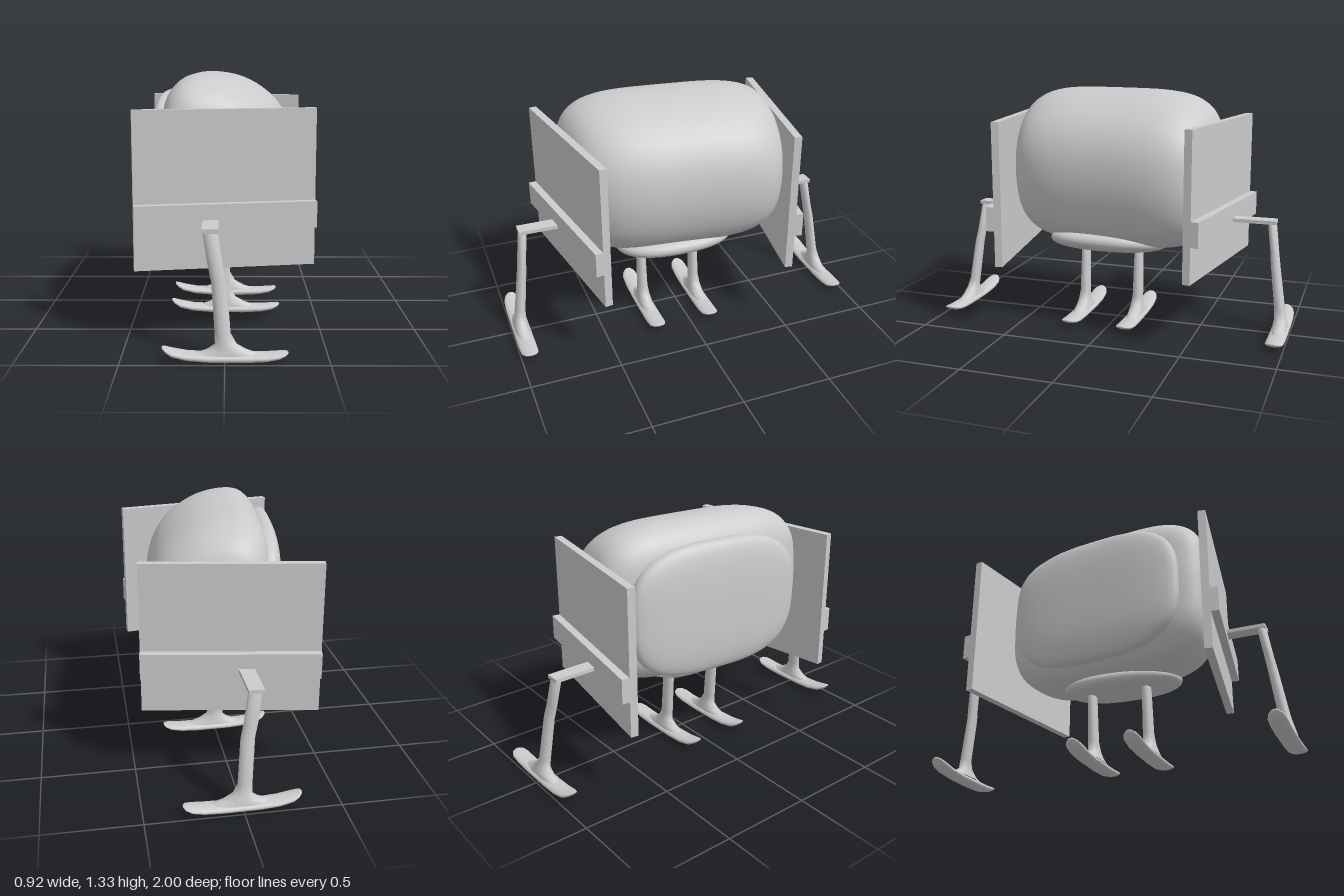
import * as THREE from 'three';
import { mergeVertices } from 'three/addons/utils/BufferGeometryUtils.js';
import { ParametricGeometry } from 'three/addons/geometries/ParametricGeometry.js';

const material = new THREE.MeshStandardMaterial({ color: 0xcccccc });

function add(parent, name, geometry, x = 0, y = 0, z = 0) {
  const mesh = new THREE.Mesh(geometry, material);
  mesh.name = name;
  mesh.position.set(x, y, z);
  parent.add(mesh);
  return mesh;
}

// weld seams and poles, then smooth the normals
function smooth(geometry) {
  geometry.deleteAttribute('uv');
  geometry.deleteAttribute('normal');
  const welded = mergeVertices(geometry);
  welded.computeVertexNormals();
  return welded;
}

const surface = (fn, nu, nv) => smooth(new ParametricGeometry(fn, nu, nv));

// rounded cushion: a sphere pushed out towards a box
function cushion(rx, ry, rz, n, shear = 0) {
  const g = new THREE.SphereGeometry(1, 40, 28);
  const p = g.attributes.position;
  for (let i = 0; i < p.count; i++) {
    const [x, y, z] = [p.getX(i), p.getY(i), p.getZ(i)];
    const k = (Math.abs(x) ** n + Math.abs(y) ** n + Math.abs(z) ** n) ** (-1 / n);
    p.setXYZ(i, x * k * rx + shear * z * k * rz, y * k * ry, z * k * rz);
  }
  return smooth(g);
}

// main hull: one cross-section swept along z, rounded at both ends
function hullGeometry() {
  const section = new THREE.CatmullRomCurve3([
    [0.37, 0.9], [0.345, 1.05], [0.27, 1.175], [0.12, 1.285], [-0.04, 1.33],
    [-0.18, 1.32], [-0.265, 1.23], [-0.295, 1.05], [-0.3, 0.8], [-0.275, 0.58],
    [-0.19, 0.475], [-0.02, 0.45], [0.15, 0.48], [0.28, 0.58], [0.35, 0.73],
  ].map(([x, y]) => new THREE.Vector3(x, y, 0)), true);
  const c = new THREE.Vector3();
  return surface((u, v, target) => {
    const t = (v - 0.5) * Math.PI;
    const k = Math.sqrt(Math.max(0, Math.cos(t)));
    const s = Math.sin(t);
    section.getPoint(u % 1, c);
    const x = c.x * k;
    const z = 0.6 * Math.sign(s) * Math.sqrt(Math.abs(s)) * (1 - 0.24 * x) + 0.015;
    target.set(x - 0.11 * z, 0.88 + (c.y - 0.88) * k, z);
  }, 60, 48);
}

// leg: rings of [x, y, radius x, radius z], from top to bottom
function legGeometry(top, lean) {
  const rings = [
    [-0.07, 0.62, 0.037, 0.024], [-0.045, 0.46, 0.037, 0.024], [-0.027, 0.38, 0.037, 0.026],
    [-0.01, 0.14, 0.038, 0.03], [0.005, 0.09, 0.052, 0.034],
    [0.01, 0.06, 0.1, 0.04], [0.01, 0.04, 0.17, 0.042],
  ].filter((r) => r[1] <= top);
  rings.unshift([rings[0][0], rings[0][1], 0, 0]);
  const last = rings.length - 1;
  return surface((u, v, target) => {
    const [x, y, rx, rz] = rings[Math.round(v * last)];
    const a = u * Math.PI * 2;
    target.set(x + rx * Math.cos(a), y, rz * Math.sin(a) + lean * Math.max(0, y - 0.08) / 0.54);
  }, 10, last);
}

// ski: rings of [x, y, half thickness, half width], from tip to tip
function skiGeometry() {
  const rings = [
    [-0.3, 0.073, 0, 0], [-0.296, 0.07, 0.007, 0.018], [-0.28, 0.06, 0.013, 0.036],
    [-0.25, 0.046, 0.018, 0.047], [-0.18, 0.031, 0.02, 0.05], [-0.08, 0.024, 0.022, 0.05],
    [0.1, 0.023, 0.023, 0.05], [0.2, 0.026, 0.02, 0.05], [0.26, 0.034, 0.015, 0.047],
    [0.29, 0.043, 0.009, 0.034], [0.301, 0.047, 0.004, 0.015], [0.303, 0.048, 0, 0],
  ];
  const last = rings.length - 1;
  return surface((u, v, target) => {
    const [x, y, ry, rz] = rings[Math.round(v * last)];
    const a = u * Math.PI * 2;
    target.set(x, y + ry * Math.cos(a), rz * Math.sin(a));
  }, 16, last);
}

export function createModel() {
  const model = new THREE.Group();
  model.name = 'skiPod';

  // hull with its side, belly and rear cushions
  add(model, 'hull', hullGeometry());
  add(model, 'sideCushion', cushion(0.08, 0.37, 0.51, 3, -0.11), -0.285, 0.87, 0);
  add(model, 'bellyCushion', cushion(0.23, 0.065, 0.34, 2.4), 0.05, 0.475, 0.035).rotation.z = 0.16;
  add(model, 'rearBump', cushion(0.12, 0.11, 0.035, 2), 0.2, 0.9, -0.485).rotation.y = -0.48;

  // end boards: panel, rail and bracket, mirrored front to back
  for (const s of [1, -1]) {
    const end = s > 0 ? 'front' : 'rear';
    const board = new THREE.Group();
    board.name = end + 'Board';
    board.position.z = s > 0 ? 0.615 : -0.59;
    board.rotation.y = s * 0.16;
    model.add(board);
    add(board, end + 'Panel', new THREE.BoxGeometry(0.92, 0.8, 0.042), 0, 0.775, 0);
    add(board, end + 'Rail', new THREE.BoxGeometry(0.92, 0.135, 0.042), 0, 0.643, s * 0.042);
    add(model, end + 'Bracket', new THREE.BoxGeometry(0.08, 0.02, 0.24), -0.07, 0.621, s * 0.78);
  }

  // four skis on legs: leaning outer pair, upright inner pair
  const ski = skiGeometry();
  for (const [name, z, top, lean] of [
    ['frontSki', 0.95, 0.62, -0.075], ['innerFrontSki', 0.205, 0.5, 0],
    ['innerRearSki', -0.12, 0.5, 0], ['rearSki', -0.95, 0.62, 0.075],
  ]) {
    const group = new THREE.Group();
    group.name = name;
    group.position.z = z;
    model.add(group);
    add(group, name + 'Runner', ski);
    add(group, name + 'Leg', legGeometry(top, lean));
  }
  return model;
}
